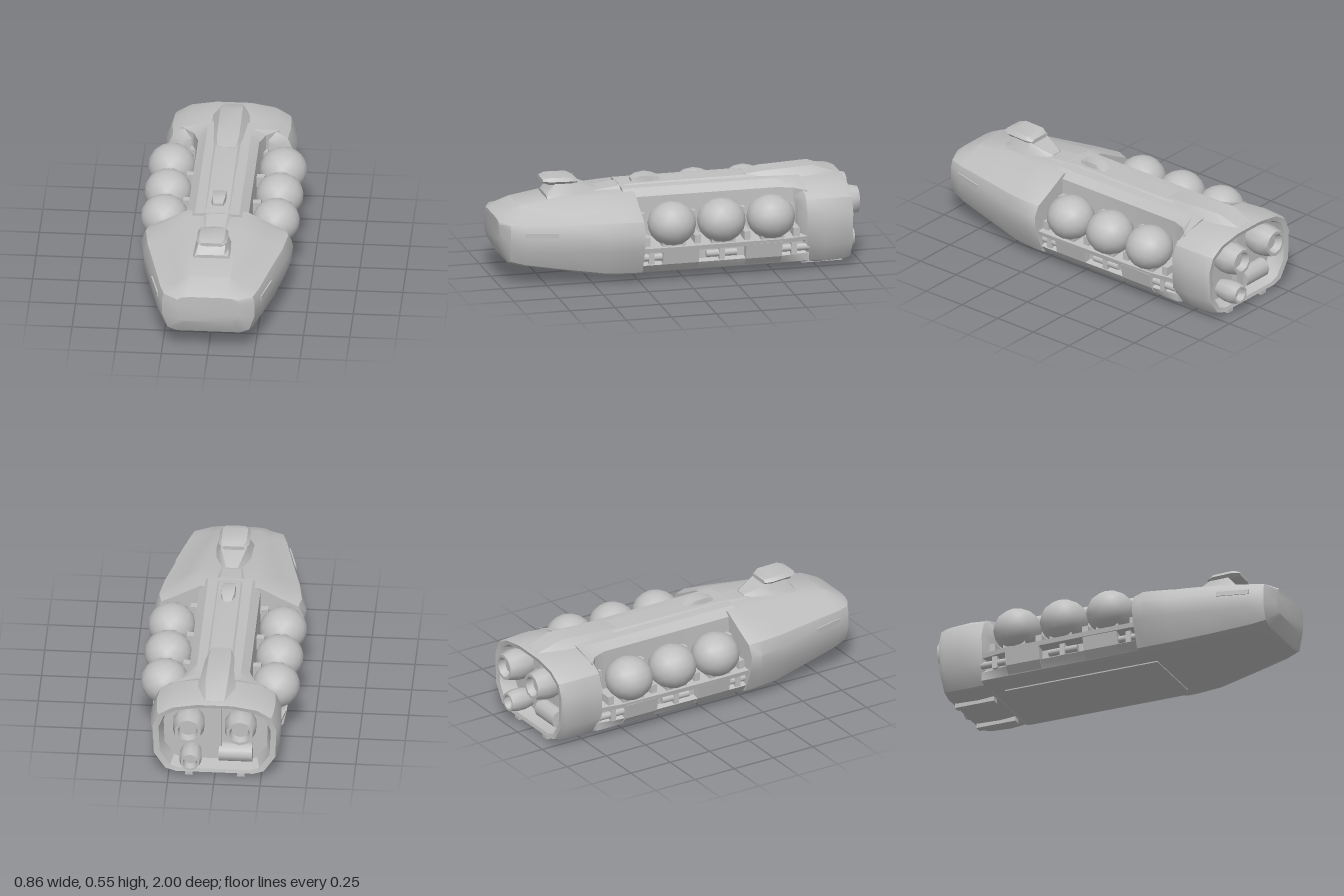
import * as THREE from 'three';
import { toCreasedNormals } from 'three/addons/utils/BufferGeometryUtils.js';

const hullGrey = new THREE.MeshStandardMaterial({ color: 0xbfbfbf });
hullGrey.name = 'hull grey';

// Skin a row of mirrored half sections, front to back; each is { z, p: [[x, y] from bottom to top] }
function loft(sections, crease = 0.6) {
  const rings = sections.map(({ z, p }) => [
    ...p.map(([x, y]) => new THREE.Vector3(x, y, z)),
    ...[...p].reverse().map(([x, y]) => new THREE.Vector3(-x, y, z)),
  ]);
  const n = rings[0].length;
  const index = [];
  for (let i = 0; i < rings.length - 1; i++) {
    for (let j = 0; j < n; j++) {
      const a = i * n + j, b = i * n + (j + 1) % n;
      index.push(a, a + n, b, b, a + n, b + n);
    }
  }
  const cap = (ring) => THREE.ShapeUtils.triangulateShape(ring.map((v) => new THREE.Vector2(v.x, v.y)), []);
  const last = (rings.length - 1) * n;
  cap(rings[0]).forEach(([a, b, c]) => index.push(a, b, c));
  cap(rings[rings.length - 1]).forEach(([a, b, c]) => index.push(last + a, last + c, last + b));
  const geo = new THREE.BufferGeometry().setFromPoints(rings.flat());
  geo.setIndex(index);
  return toCreasedNormals(geo, crease);
}

export function createModel() {
  const group = new THREE.Group();
  const add = (name, geo, x = 0, y = 0, z = 0) => {
    const mesh = new THREE.Mesh(geo, hullGrey);
    mesh.name = name;
    mesh.position.set(x, y, z);
    group.add(mesh);
    return mesh;
  };
  const box = (name, w, h, d, x, y, z) => add(name, new THREE.BoxGeometry(w, h, d), x, y, z);

  // Wedge-shaped bow: blunt tip, low side decks and a raised centre
  add('bow', loft([
    { z: 0.995, p: [[0.12, 0.2], [0.15, 0.21], [0.17, 0.25], [0.17, 0.3], [0.165, 0.335], [0.14, 0.35], [0.09, 0.355]] },
    { z: 0.95, p: [[0.17, 0.12], [0.22, 0.14], [0.25, 0.22], [0.25, 0.31], [0.24, 0.345], [0.17, 0.365], [0.11, 0.38]] },
    { z: 0.87, p: [[0.18, 0.1], [0.24, 0.12], [0.28, 0.21], [0.28, 0.3], [0.265, 0.345], [0.17, 0.375], [0.11, 0.415]] },
    { z: 0.65, p: [[0.2, 0.065], [0.28, 0.09], [0.33, 0.2], [0.335, 0.3], [0.315, 0.35], [0.21, 0.39], [0.125, 0.445]] },
    { z: 0.44, p: [[0.24, 0.033], [0.32, 0.065], [0.38, 0.2], [0.385, 0.29], [0.365, 0.355], [0.25, 0.4], [0.15, 0.455]] },
    { z: 0.3, p: [[0.25, 0.03], [0.33, 0.06], [0.4, 0.2], [0.41, 0.29], [0.385, 0.36], [0.28, 0.41], [0.16, 0.46]] },
    { z: 0.24, p: [[0.25, 0.03], [0.33, 0.06], [0.39, 0.2], [0.4, 0.29], [0.37, 0.35], [0.27, 0.4], [0.16, 0.46]] },
  ]));

  // Midsection: tall spine over a wide lower deck with a grooved flank
  const mid = (deck, spine) => [[0.24, 0.03], [0.31, 0.055], [deck - 0.025, 0.1], [0.305, 0.11], [0.305, 0.165],
    [deck - 0.005, 0.175], [deck, 0.2], [spine, 0.215], [spine - 0.005, 0.435], [0.12, 0.473], [0.05, 0.478]];
  add('midsection', loft([
    { z: 0.3, p: mid(0.37, 0.17) }, { z: 0.05, p: mid(0.37, 0.17) },
    { z: -0.55, p: mid(0.36, 0.17) }, { z: -0.63, p: mid(0.345, 0.2) }, { z: -0.69, p: mid(0.335, 0.27) },
  ], 0.4));
  add('spineRidge', loft([
    { z: 0.45, p: [[0.07, 0.44], [0.05, 0.457]] },
    { z: 0.25, p: [[0.09, 0.46], [0.06, 0.482]] },
    { z: -0.5, p: [[0.09, 0.46], [0.06, 0.487]] },
    { z: -0.9, p: [[0.09, 0.44], [0.06, 0.465]] },
  ]));

  // Storage spheres in low cradles, with flush panels and equipment along the flank groove
  const ball = toCreasedNormals(new THREE.IcosahedronGeometry(0.13, 2), 0.7);
  const panel = [[0.29, 0.06], [0.315, 0.06], [0.345, 0.1], [0.362, 0.185], [0.29, 0.185]];
  for (const s of [1, -1]) {
    for (const z of [0.07, -0.205, -0.48]) {
      add('storageSphere', ball, s * 0.301, 0.315, z).scale.set(1, 0.93, 1.02);
      box('sphereSeat', 0.12, 0.03, 0.13, s * 0.29, 0.213, z);
    }
    for (const z of [0.215, -0.067, -0.342, -0.615]) {
      box('sphereClamp', 0.05, 0.1, 0.04, s * 0.185, 0.3, z);
      box('sphereCradle', 0.17, 0.05, 0.035, s * 0.25, 0.225, z);
    }
    for (const z of [0.03, -0.43]) {
      const shape = new THREE.Shape(panel.map(([x, y]) => new THREE.Vector2(s * x, y)));
      add('flankPanel', new THREE.ExtrudeGeometry(shape, { depth: 0.2, bevelEnabled: false }), 0, 0, z - 0.1);
    }
    for (const z of [0.19, -0.2, -0.6]) {
      const pipe = add('flankPipe', new THREE.CylinderGeometry(0.02, 0.02, 0.17, 8), s * 0.318, 0.137, z);
      pipe.rotation.x = Math.PI / 2;
      box('flankRib', 0.04, 0.07, 0.03, s * 0.318, 0.137, z);
    }
    // Thin slit plates along the bow flank
    const slit = box('bowSlit', 0.008, 0.025, 0.18, s * 0.301, 0.295, 0.79);
    slit.rotation.y = -s * 0.25;
  }

  // Stern housing: an open shell with a recessed back
  const stern = [[0.22, 0.02], [0.28, 0.04], [0.345, 0.14], [0.352, 0.32], [0.32, 0.4], [0.24, 0.448], [0.1, 0.472]];
  const scaled = (k) => stern.map(([x, y]) => [x * k, 0.24 + (y - 0.24) * k]);
  add('sternHousing', loft([
    { z: -0.64, p: scaled(0.8) },
    { z: -0.675, p: scaled(0.97) },
    { z: -0.78, p: stern },
    { z: -0.9, p: scaled(0.98) },
    { z: -0.93, p: scaled(0.95) },
    { z: -0.925, p: scaled(0.86) },
    { z: -0.84, p: scaled(0.8) },
  ]));

  // Engine nozzles with hollow ends
  const nozzle = (name, r, x, y, end) => {
    const profile = [[0.75, 0], [1.05, 0.08], [1.05, 0.13], [0.88, end], [0.68, end], [0.55, end - 0.04], [0, end - 0.04]]
      .map(([k, h]) => new THREE.Vector2(k * r, h));
    const geo = toCreasedNormals(new THREE.LatheGeometry(profile, 10), 0.7);
    add(name, geo, x, y, -0.81).rotation.x = -Math.PI / 2;
  };
  nozzle('upperNozzle', 0.083, 0.14, 0.33, 0.19);
  nozzle('upperNozzle', 0.083, -0.14, 0.33, 0.19);
  nozzle('lowerNozzle', 0.058, 0.13, 0.12, 0.17);
  const drum = add('sternDrum', new THREE.CylinderGeometry(0.055, 0.055, 0.18, 10), -0.11, 0.12, -0.85);
  drum.rotation.z = Math.PI / 2;
  box('sternDivider', 0.07, 0.32, 0.05, 0, 0.25, -0.85);

  // Bridge turret
  add('bridgeNeck', loft([
    { z: 0.71, p: [[0.11, 0.42], [0.09, 0.445], [0.07, 0.455]] },
    { z: 0.66, p: [[0.11, 0.42], [0.088, 0.47], [0.07, 0.512]] },
    { z: 0.55, p: [[0.11, 0.42], [0.085, 0.47], [0.07, 0.51]] },
    { z: 0.42, p: [[0.07, 0.42], [0.05, 0.45], [0.03, 0.465]] },
  ]));
  add('bridgeHead', loft([
    { z: 0.725, p: [[0.05, 0.518], [0.065, 0.528], [0.05, 0.538]] },
    { z: 0.69, p: [[0.065, 0.507], [0.083, 0.527], [0.068, 0.546]] },
    { z: 0.57, p: [[0.065, 0.503], [0.083, 0.523], [0.068, 0.543]] },
    { z: 0.535, p: [[0.05, 0.506], [0.065, 0.518], [0.05, 0.528]] },
  ]));

  // Dorsal sensor and aft hump
  add('dorsalSensor', loft([
    { z: 0.225, p: [[0.035, 0.47], [0.025, 0.497]] },
    { z: 0.18, p: [[0.04, 0.47], [0.035, 0.512]] },
    { z: 0.11, p: [[0.04, 0.47], [0.035, 0.508]] },
    { z: 0.06, p: [[0.03, 0.47], [0.02, 0.483]] },
  ]));
  add('aftHump', loft([
    { z: -0.4, p: [[0.07, 0.47], [0.05, 0.488]] },
    { z: -0.5, p: [[0.09, 0.46], [0.06, 0.502]] },
    { z: -0.77, p: [[0.12, 0.45], [0.06, 0.514]] },
    { z: -0.9, p: [[0.09, 0.43], [0.05, 0.468]] },
  ]));

  // Belly plate and stern skids
  box('bellyPlate', 0.4, 0.015, 0.9, 0, 0.031, -0.15);
  for (const s of [1, -1]) box('sternSkid', 0.042, 0.04, 0.23, s * 0.14, 0.02, -0.8);

  return group;
}
